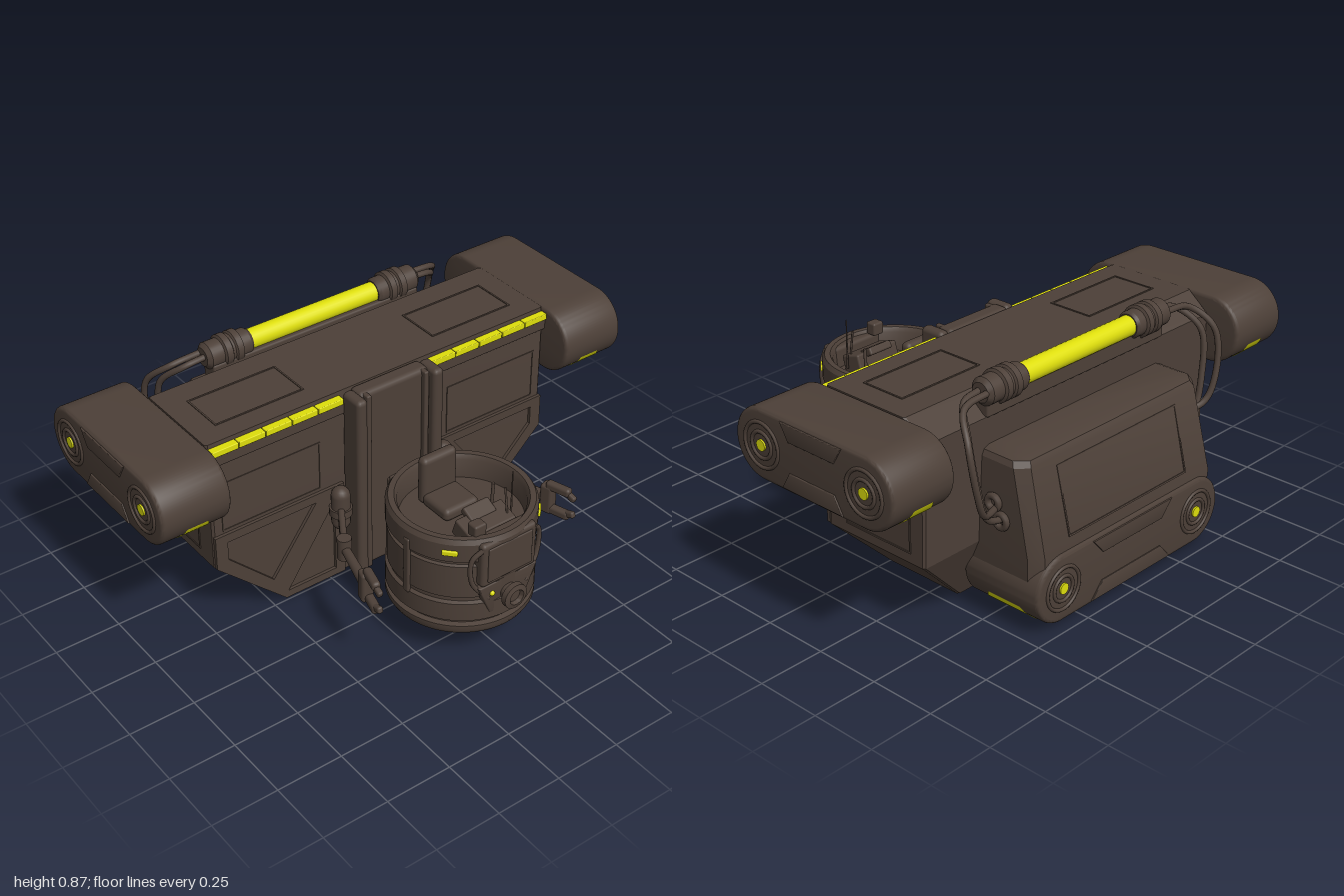
import * as THREE from 'three';
import { toCreasedNormals } from 'three/addons/utils/BufferGeometryUtils.js';
import { RoundedBoxGeometry } from 'three/addons/geometries/RoundedBoxGeometry.js';

const brown = new THREE.MeshStandardMaterial({ color: 0x4d4038, side: THREE.DoubleSide });
const yellow = new THREE.MeshStandardMaterial({ color: 0xdede0c, side: THREE.DoubleSide });
const V = (x, y, z) => new THREE.Vector3(x, y, z);

function add(parent, name, geo, pos = [0, 0, 0], rot = [0, 0, 0], mat = brown) {
  const m = new THREE.Mesh(geo, mat);
  m.name = name;
  m.position.set(...pos);
  m.rotation.set(...rot);
  parent.add(m);
  return m;
}
const box = (w, h, d, r = 0.008) => new RoundedBoxGeometry(w, h, d, 2, Math.min(r, w / 2.1, h / 2.1, d / 2.1));
const cyl = (r, h, r2 = r) => new THREE.CylinderGeometry(r2, r, h, 24);
const lathe = (pts, n = 48) => toCreasedNormals(new THREE.LatheGeometry(pts.map(p => new THREE.Vector2(...p)), n), 0.5);
const tube = (pts, r, n = 24) => new THREE.TubeGeometry(new THREE.CatmullRomCurve3(pts.map(p => V(...p))), n, r, 10);
const poly = pts => new THREE.Shape(pts.map(p => new THREE.Vector2(...p)));
function extrude(shape, depth, bevel = 0) {
  return toCreasedNormals(new THREE.ExtrudeGeometry(shape, {
    depth, curveSegments: 20, bevelEnabled: bevel > 0, bevelSize: bevel, bevelThickness: bevel, bevelSegments: 3,
  }), 0.6);
}
// Thin rectangular seam standing slightly proud of a panel
function seam(w, h) {
  const rect = (a, b) => [[-a, -b], [a, -b], [a, b], [-a, b]];
  const s = poly(rect(w / 2, h / 2));
  s.holes.push(poly(rect(w / 2 - 0.006, h / 2 - 0.006)));
  return extrude(s, 0.004);
}
// Straight rod between two points
function rod(parent, name, a, b, r, r2 = r) {
  const A = V(...a), B = V(...b), d = B.clone().sub(A);
  const m = add(parent, name, cyl(r, d.length(), r2), A.clone().add(B).multiplyScalar(0.5).toArray());
  m.quaternion.setFromUnitVectors(V(0, 1, 0), d.normalize());
}
// Solid through chamfered rectangles [y, halfWidth, zFront, zBack]
function loft(rows, c) {
  const pos = [], idx = [];
  for (const [y, w, f, b] of rows) {
    for (const [x, z] of [[w - c, f], [w, f - c], [w, b + c], [w - c, b], [c - w, b], [-w, b + c], [-w, f - c], [c - w, f]]) pos.push(x, y, z);
  }
  for (let i = 0; i < rows.length - 1; i++) for (let j = 0; j < 8; j++) {
    const a = i * 8 + j, b = i * 8 + (j + 1) % 8;
    idx.push(a, b, a + 8, b, b + 8, a + 8);
  }
  const t = (rows.length - 1) * 8;
  for (let j = 1; j < 7; j++) idx.push(0, j + 1, j, t, t + j, t + j + 1);
  const g = new THREE.BufferGeometry();
  g.setAttribute('position', new THREE.Float32BufferAttribute(pos, 3));
  g.setIndex(idx);
  return toCreasedNormals(g, 0.4);
}

// Long round-ended pod; its face looks along +z at z = 0, body reaches back by depth
function makePod(name, half, r, depth, lampNear, lampFar) {
  const g = new THREE.Group(), b = 0.014, rr = r - b;
  g.name = name;
  const s = new THREE.Shape();
  s.absarc(half, 0, rr, -Math.PI / 2, Math.PI / 2);
  s.absarc(-half, 0, rr, Math.PI / 2, Math.PI * 1.5);
  s.closePath();
  add(g, name + 'Body', extrude(s, depth - 2 * b, b), [0, 0, b - depth]);
  for (const k of [-1, 1]) {
    add(g, 'portRing', new THREE.TorusGeometry(r * 0.62, 0.007, 8, 40), [k * half, 0, 0]);
    add(g, 'portInnerRing', new THREE.TorusGeometry(r * 0.36, 0.007, 8, 32), [k * half, 0, 0]);
    add(g, 'portLamp', cyl(0.02, 0.01), [k * half, 0, 0.001], [Math.PI / 2, 0, 0], yellow);
    const w = half * 0.58;
    add(g, 'facePanel', extrude(poly([[-w, r - b], [w, r - b], [w * 0.75, r * 0.45], [-w * 0.75, r * 0.45]]), 0.002, 0.003),
      [0, 0, 0], [0, 0, k > 0 ? 0 : Math.PI]);
  }
  // Lamp strip wrapped round the underside, tapering up each end
  const pos = [], idx = [], mid = -(lampNear + lampFar) / 2, hw = (lampFar - lampNear) / 2, ro = r + 0.002, N = 10;
  for (const k of [-1, 1]) for (let i = 0; i <= N; i++) {
    const t = k < 0 ? 1 - i / N : i / N, a = -Math.PI / 2 + t * 1.13;
    const up = (ro + ro * Math.sin(a)) / (ro + ro * Math.sin(-Math.PI / 2 + 1.13));
    const w = hw * (1 - 0.4 * up), x = k * (half + ro * Math.cos(a)), y = ro * Math.sin(a);
    pos.push(x, y, mid - w, x, y, mid + w);
  }
  for (let i = 0; i < pos.length / 6 - 1; i++) idx.push(2 * i, 2 * i + 2, 2 * i + 1, 2 * i + 1, 2 * i + 2, 2 * i + 3);
  const lg = new THREE.BufferGeometry();
  lg.setAttribute('position', new THREE.Float32BufferAttribute(pos, 3));
  lg.setIndex(idx);
  lg.computeVertexNormals();
  lg.computeVertexNormals();
  add(g, 'undersideLamp', lg, [0, 0, 0], [0, 0, 0], yellow);
  return g;
}

function makeSubmersible() {
  const g = new THREE.Group();
  g.name = 'submersible';
  g.position.z = 0.425;
  add(g, 'vessel', lathe([[0, 0], [0.06, 0.003], [0.11, 0.018], [0.18, 0.07], [0.255, 0.13], [0.263, 0.145], [0.263, 0.165], [0.245, 0.17],
    [0.245, 0.185], [0.263, 0.19], [0.263, 0.262], [0.25, 0.268], [0.25, 0.282], [0.258, 0.288], [0.258, 0.42], [0.248, 0.425], [0.248, 0.44],
    [0.263, 0.445], [0.263, 0.515], [0.253, 0.532], [0.232, 0.532], [0.222, 0.515], [0.218, 0.44], [0, 0.44]], 64));
  // Cockpit
  add(g, 'seatBack', box(0.15, 0.19, 0.045, 0.02), [0, 0.535, -0.137]);
  add(g, 'seatCushion', box(0.15, 0.05, 0.14, 0.02), [0, 0.465, -0.06]);
  add(g, 'console', box(0.2, 0.07, 0.09), [0, 0.475, 0.12], [0.3, 0, 0]);
  add(g, 'consoleScreen', box(0.11, 0.03, 0.06), [0, 0.515, 0.09], [0.5, 0, 0]);
  add(g, 'rimBox', box(0.05, 0.05, 0.045), [-0.09, 0.545, 0.19]);
  rod(g, 'antenna', [0.11, 0.46, 0.13], [0.11, 0.655, 0.13], 0.004, 0.002);
  rod(g, 'shortAntenna', [0.08, 0.46, 0.15], [0.08, 0.6, 0.13], 0.004);
  rod(g, 'lever', [0.1, 0.46, 0.04], [0.1, 0.56, 0.045], 0.006);
  // Front window, camera and lamps
  add(g, 'windowFrame', box(0.235, 0.18, 0.07, 0.015), [0, 0.43, 0.225]);
  add(g, 'windowPane', box(0.19, 0.14, 0.01), [0, 0.43, 0.26]);
  add(g, 'chinHousing', extrude(poly([[-0.12, 0.335], [-0.07, 0.22], [0.07, 0.22], [0.12, 0.335]]), 0.06, 0.006), [0, 0, 0.19]);
  add(g, 'camera', lathe([[0, 0], [0.04, 0], [0.04, 0.02], [0.032, 0.025], [0.032, 0.05], [0.048, 0.055], [0.048, 0.075], [0.03, 0.08], [0.025, 0.065], [0, 0.065]], 28),
    [0, 0.278, 0.225], [Math.PI / 2, 0, 0]);
  add(g, 'chinLamp', new THREE.SphereGeometry(0.01, 12, 8), [-0.07, 0.3, 0.256], [0, 0, 0], yellow);
  for (const k of [-1, 1]) {
    add(g, 'sideLamp', box(0.055, 0.022, 0.012, 0.01), [k * 0.195, 0.482, 0.178], [0, k * 0.83, 0], yellow);
    add(g, 'chinHose', tube([[k * 0.11, 0.5, 0.25], [k * 0.145, 0.46, 0.235], [k * 0.14, 0.36, 0.235], [k * 0.08, 0.28, 0.25]], 0.009));
    add(g, 'sideRib', box(0.015, 0.23, 0.03), [k * 0.258, 0.37, 0.03]);
  }
  return g;
}

function makeArm(k) {
  const g = new THREE.Group();
  g.name = k > 0 ? 'leftArm' : 'rightArm';
  const s = [k * 0.23, 0.33, 0.035], e = [k * 0.345, 0.33, 0.215], w = [k * 0.405, 0.33, 0.42];
  add(g, 'shoulder', new THREE.CapsuleGeometry(0.035, 0.11, 6, 20), [s[0], 0.34, s[2]]);
  add(g, 'shoulderCollar', cyl(0.042, 0.03), s);
  for (const dy of [-0.018, 0.018]) rod(g, 'upperArm', [s[0], 0.33 + dy, s[2]], [e[0], 0.33 + dy, e[2]], 0.012);
  add(g, 'elbow', cyl(0.026, 0.085), e);
  rod(g, 'forearm', e, w, 0.016, 0.02);
  add(g, 'wrist', box(0.045, 0.12, 0.05, 0.012), w, [0, k * 0.28, 0]);
  for (const dy of [-1, 1]) {
    add(g, 'claw', box(0.032, 0.035, 0.1, 0.012), [k * 0.413, 0.34 + dy * 0.05, 0.465], [0, k * 0.28, 0]);
    add(g, 'clawTip', box(0.022, 0.025, 0.055, 0.008), [k * 0.425, 0.34 + dy * 0.041, 0.51], [dy * 0.35, k * 0.1, 0]);
  }
  return g;
}

export function createModel() {
  const root = new THREE.Group();
  root.name = 'submarineCarrier';
  // Main hull
  add(root, 'hull', loft([[0.008, 0.45, -0.012, -0.34], [0.275, 0.73, -0.012, -0.46], [0.72, 0.73, -0.012, -0.465], [0.79, 0.73, -0.02, -0.38]], 0.008));
  add(root, 'hullFrontBand', box(1.46, 0.05, 0.03), [0, 0.73, -0.012]);
  // Rear equipment bay
  add(root, 'rearBay', loft([[0.035, 0.38, -0.3, -0.69], [0.15, 0.468, -0.3, -0.71], [0.285, 0.475, -0.3, -0.715], [0.59, 0.465, -0.34, -0.64], [0.61, 0.455, -0.35, -0.628], [0.62, 0.43, -0.37, -0.6]], 0.04));
  add(root, 'rearBaySeam', seam(0.62, 0.25), [0, 0.44, -0.676], [0.25, Math.PI, 0]);
  const rear = makePod('rearPod', 0.355, 0.127, 0.33, 0.04, 0.275);
  rear.position.set(0, 0.152, -0.727);
  rear.rotation.y = Math.PI;
  root.add(rear);
  // Light tube on the upper rear edge
  add(root, 'lightTube', cyl(0.038, 0.58), [0, 0.81, -0.455], [0, 0, Math.PI / 2], yellow);
  add(root, 'lightTubeCradle', box(0.9, 0.07, 0.07), [0, 0.755, -0.44]);

  for (const k of [-1, 1]) {
    // End pods
    const pod = makePod(k > 0 ? 'leftPod' : 'rightPod', 0.235, 0.128, 0.265, 0.07, 0.205);
    pod.position.set(k * 0.993, 0.662, -0.237);
    pod.rotation.y = k * Math.PI / 2;
    root.add(pod);
    // Segmented light strip along the front edge
    for (let i = 0; i < 5; i++) add(root, 'frontLightStrip', box(0.104, 0.024, 0.03, 0.003), [k * (0.245 + i * 0.107), 0.765, -0.002], [0, 0, 0], yellow);
    // Lower front frame with open bays, and panel seams
    const f = poly([[0.19, 0.41], [0.19, 0.01], [0.45, 0.01], [0.728, 0.277], [0.728, 0.41]].map(([x, y]) => [k * x, y]));
    f.holes.push(poly([[0.31, 0.375], [0.68, 0.375], [0.68, 0.3], [0.5, 0.12]].map(([x, y]) => [k * x, y])));
    f.holes.push(poly([[0.23, 0.35], [0.23, 0.04], [0.44, 0.04]].map(([x, y]) => [k * x, y])));
    add(root, 'lowerFrontFrame', extrude(f, 0.014), [0, 0, -0.014]);
    add(root, 'frontSeam', seam(0.41, 0.2), [k * 0.485, 0.52, -0.013]);
    add(root, 'topSeam', seam(0.36, 0.18), [k * 0.46, 0.789, -0.19], [-Math.PI / 2, 0, 0]);
    add(root, 'sideSeam', seam(0.3, 0.18), [k * 0.729, 0.4, -0.25], [0, k * Math.PI / 2, 0]);
    // Tube end clamps with hoses down to the rear bay
    add(root, 'tubeClamp', lathe([[0, 0], [0.042, 0], [0.05, 0.012], [0.05, 0.045], [0.06, 0.05], [0.06, 0.075], [0.052, 0.08], [0.052, 0.09],
      [0.06, 0.095], [0.06, 0.12], [0.05, 0.125], [0.05, 0.175], [0.035, 0.19], [0, 0.19]], 28), [k * 0.275, 0.81, -0.455], [0, 0, -k * Math.PI / 2]);
    for (const [o, q] of [[0, 0], [0.035, 0.035]]) {
      add(root, 'hose', tube([[k * 0.45, 0.815, -0.445 - q], [k * (0.54 + o), 0.8, -0.455 - q], [k * (0.6 + o), 0.72, -0.53 - q],
        [k * (0.585 + o), 0.55, -0.555 - q], [k * (0.54 + o), 0.42 + q, -0.56 - q / 2], [k * 0.45, 0.39 + q, -0.56 + q]], 0.012, 36));
      add(root, 'hoseSocket', new THREE.TorusGeometry(0.024, 0.012, 8, 20), [k * 0.478, 0.39 + q * 1.6, -0.56 + q], [0, Math.PI / 2, 0]);
    }
    // Docking rails
    add(root, 'dockRail', box(0.045, 0.755, 0.1, 0.018), [k * 0.165, 0.415, 0.04]);
    add(root, 'dockInnerRail', box(0.02, 0.75, 0.08, 0.006), [k * 0.125, 0.415, 0.03]);
    add(root, 'dockLampSide', box(0.006, 0.26, 0.022, 0.002), [k * 0.087, 0.305, 0.145], [0, 0, 0], yellow);
    root.add(makeArm(k));
  }
  // Docking mast and coupling
  add(root, 'dockMast', box(0.3, 0.76, 0.07, 0.02), [0, 0.413, 0.015]);
  add(root, 'couplingPlate', box(0.174, 0.31, 0.04), [0, 0.315, 0.145]);
  add(root, 'couplingNeck', box(0.07, 0.16, 0.2), [0, 0.31, 0.13]);
  root.add(makeSubmersible());
  return root;
}
